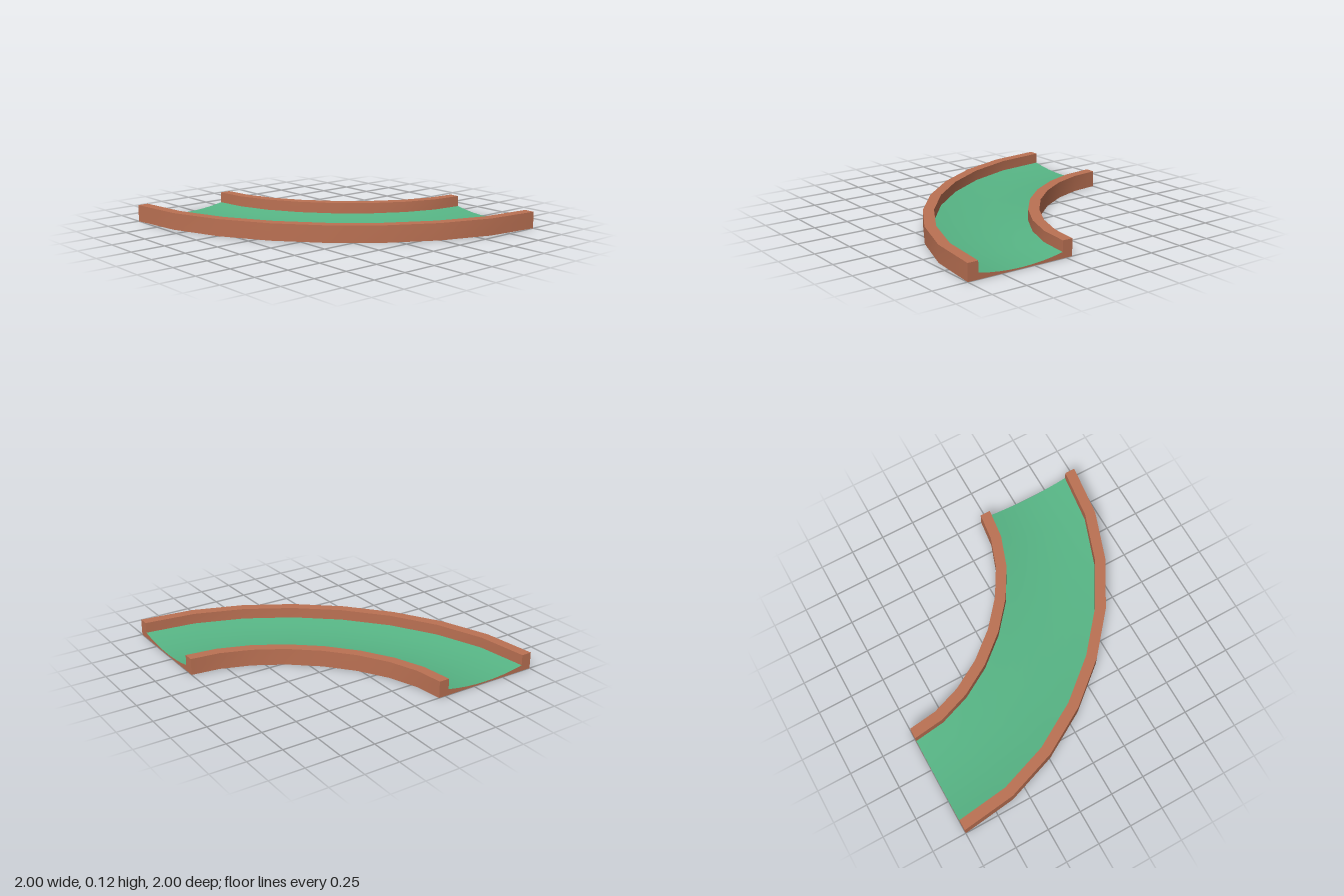
import * as THREE from 'three';
import { mergeGeometries } from 'three/addons/utils/BufferGeometryUtils.js';

const SEGMENTS = 8;        // straight steps along the bend
const HALF = 0.4;          // half the track width
const WALL = 0.077;        // wall thickness
const HEIGHT = 0.12;
const RIM = 0.043;         // floor height against the walls
const LOW = 0.01;          // floor height in the middle

// Centre line of the quarter bend, in plan (x, z)
const path = new THREE.CubicBezierCurve(
  new THREE.Vector2(-1, 0.6), new THREE.Vector2(-0.2, 0.6),
  new THREE.Vector2(0.6, -0.2), new THREE.Vector2(0.6, -1));

// Sweeps an open profile of [offset, height] points along the bend, smooth in both directions
function sweep(profile) {
  const positions = [], index = [], n = profile.length;
  for (let i = 0; i <= SEGMENTS; i++) {
    const p = path.getPoint(i / SEGMENTS), t = path.getTangent(i / SEGMENTS);
    for (const [u, y] of profile) positions.push(p.x - t.y * u, y, p.y + t.x * u);
    if (i === SEGMENTS) break;
    for (let j = 0; j < n - 1; j++) {
      const a = i * n + j, b = a + 1, c = a + n, d = c + 1;
      index.push(a, b, c, b, d, c);
    }
  }
  const g = new THREE.BufferGeometry();
  g.setAttribute('position', new THREE.Float32BufferAttribute(positions, 3));
  g.setIndex(index);
  g.computeVertexNormals();
  return g;
}

// Sweeps every edge by itself, so the corners between them stay sharp
function sweepEdges(points) {
  return mergeGeometries(points.slice(1).map((p, i) => sweep([points[i], p])));
}

export function createModel() {
  const group = new THREE.Group();
  group.name = 'curvedTrack';
  const wood = new THREE.MeshStandardMaterial({ color: 0xbb7153 });
  wood.name = 'terracotta wood';
  const turf = new THREE.MeshStandardMaterial({ color: 0x57b585 });
  turf.name = 'green turf';

  const add = (name, geometry, material) => {
    const mesh = new THREE.Mesh(geometry, material);
    mesh.name = name;
    group.add(mesh);
    return mesh;
  };

  // Shallow dished floor between the walls
  const inner = HALF - WALL;
  const floor = [];
  for (let k = 0; k <= 8; k++) {
    const s = k / 4 - 1;
    floor.push([s * inner, LOW + (RIM - LOW) * s * s]);
  }
  add('floor', sweep(floor), turf);

  // Side walls and flat underside
  const innerWall = [[-HALF, 0], [-HALF, HEIGHT], [-inner, HEIGHT], [-inner, RIM]];
  const outerWall = [[inner, RIM], [inner, HEIGHT], [HALF, HEIGHT], [HALF, 0]];
  add('innerWall', sweepEdges(innerWall), wood);
  add('outerWall', sweepEdges(outerWall), wood);
  add('underside', sweepEdges([[HALF, 0], [-HALF, 0]]), wood);

  // Cut faces at both ends, showing the full section
  const section = [...innerWall, ...floor.slice(1, -1), ...outerWall];
  const cap = new THREE.ShapeGeometry(
    new THREE.Shape(section.map(([u, y]) => new THREE.Vector2(u, y))));
  const startCap = add('startEnd', cap, wood);
  startCap.position.set(-1, 0, 0.6);
  startCap.rotation.y = -Math.PI / 2;
  const farCap = add('farEnd', cap, wood);
  farCap.position.set(0.6, 0, -1);
  farCap.rotation.y = Math.PI;

  return group;
}
